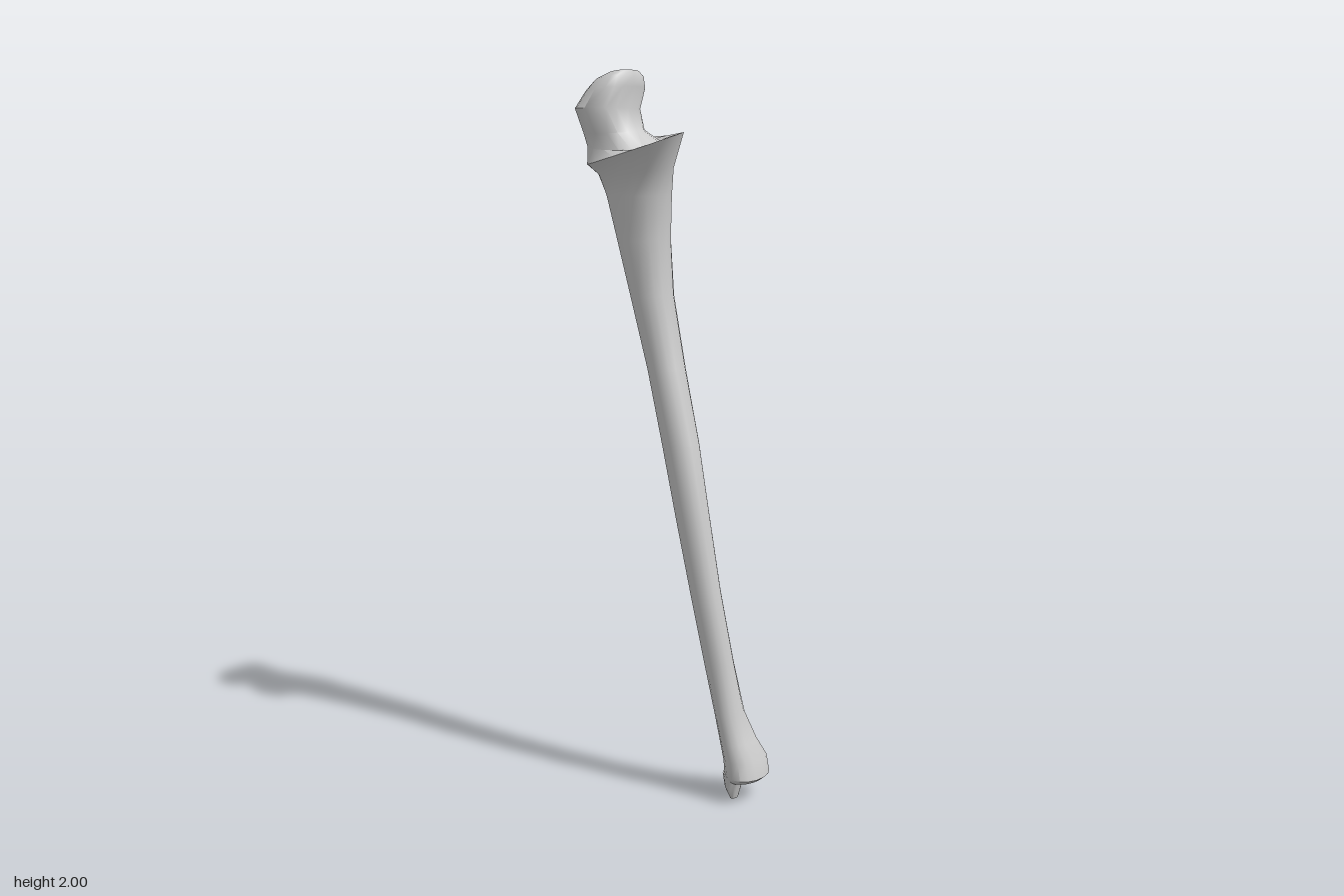
import * as THREE from 'three';
import { toCreasedNormals } from 'three/addons/utils/BufferGeometryUtils.js';

const SIDES = 16;
const material = new THREE.MeshStandardMaterial({ color: 0xcccccc });

// Closed loft, bottom to top. Ring: [y, xMin, xMax, zBack, zFront, tiltX, tiltZ, squareness]
function loft(name, rings) {
  const pos = [], index = [], centres = [];
  for (const [y, x0, x1, z0, z1, tx = 0, tz = 0, sq = 0.95] of rings) {
    const cx = (x0 + x1) / 2, cz = (z0 + z1) / 2;
    centres.push([cx, y, cz]);
    for (let i = 0; i < SIDES; i++) {
      const a = (i / SIDES) * Math.PI * 2;
      const c = Math.cos(a), s = Math.sin(a);
      const dx = Math.sign(c) * Math.abs(c) ** sq * (x1 - x0) / 2;
      const dz = Math.sign(s) * Math.abs(s) ** sq * (z1 - z0) / 2;
      pos.push(cx + dx, y + tx * dx + tz * dz, cz + dz);
    }
  }
  const last = (rings.length - 1) * SIDES;
  const bottom = rings.length * SIDES, top = bottom + 1;
  pos.push(...centres[0], ...centres[centres.length - 1]);
  for (let i = 0; i < SIDES; i++) {
    const j = (i + 1) % SIDES;
    for (let r = 0; r < last; r += SIDES) {
      index.push(r + i, r + SIDES + i, r + j, r + j, r + SIDES + i, r + SIDES + j);
    }
    index.push(bottom, i, j, top, last + j, last + i);
  }
  const geometry = new THREE.BufferGeometry();
  geometry.setAttribute('position', new THREE.Float32BufferAttribute(pos, 3));
  geometry.setIndex(index);
  const mesh = new THREE.Mesh(toCreasedNormals(geometry, 0.9), material);
  mesh.name = name;
  return mesh;
}

export function createModel() {
  const group = new THREE.Group();
  group.name = 'forearmBone';

  // Flared lower head and slim curved shaft
  const shaft = [
    [0.055, 0.01, 0.125, 0.155, 0.245, 0, 0.1],
    [0.075, -0.01, 0.138, 0.15, 0.26, 0, -0.05],
    [0.12, -0.008, 0.137, 0.145, 0.25],
    [0.17, -0.008, 0.115, 0.138, 0.225],
    [0.25, -0.01, 0.085, 0.125, 0.2],
    [0.4, -0.02, 0.06, 0.095, 0.178],
    [0.6, -0.033, 0.048, 0.055, 0.142],
    [0.8, -0.04, 0.048, 0.01, 0.107],
    [1.0, -0.042, 0.055, -0.037, 0.068],
    [1.2, -0.037, 0.07, -0.09, 0.012],
    [1.4, -0.046, 0.075, -0.145, -0.028],
    [1.55, -0.062, 0.076, -0.183, -0.033],
    [1.67, -0.076, 0.08, -0.215, -0.027],
  ];

  // Forward ledge, notch and hooked upper end
  const upperEnd = [
    [1.735, -0.093, 0.068, -0.232, -0.01, 0.1, 0.05],
    [1.795, -0.135, 0.06, -0.243, 0.035, 0.22, 0.25, 0.85],
    [1.808, -0.11, 0.052, -0.25, -0.05, 0.22, -0.05, 0.85],
    [1.84, -0.112, 0.046, -0.256, -0.1, 0.08, 0, 0.85],
    [1.9, -0.14, 0.055, -0.262, -0.122, 0, 0, 0.8],
    [1.95, -0.115, 0.058, -0.24, -0.112, 0, 0.1, 0.75],
    [1.98, -0.1, 0.045, -0.212, -0.113, 0, 0.15, 0.75],
    [1.996, -0.075, 0.02, -0.175, -0.12, 0, 0.15, 0.8],
  ];
  group.add(loft('boneBody', [...shaft, ...upperEnd]));

  // Small pointed tip under the lower head
  group.add(loft('lowerTip', [
    [0, 0.03, 0.058, 0.166, 0.184],
    [0.035, 0.012, 0.068, 0.155, 0.195],
    [0.08, 0.0, 0.08, 0.15, 0.21],
  ]));

  return group;
}
